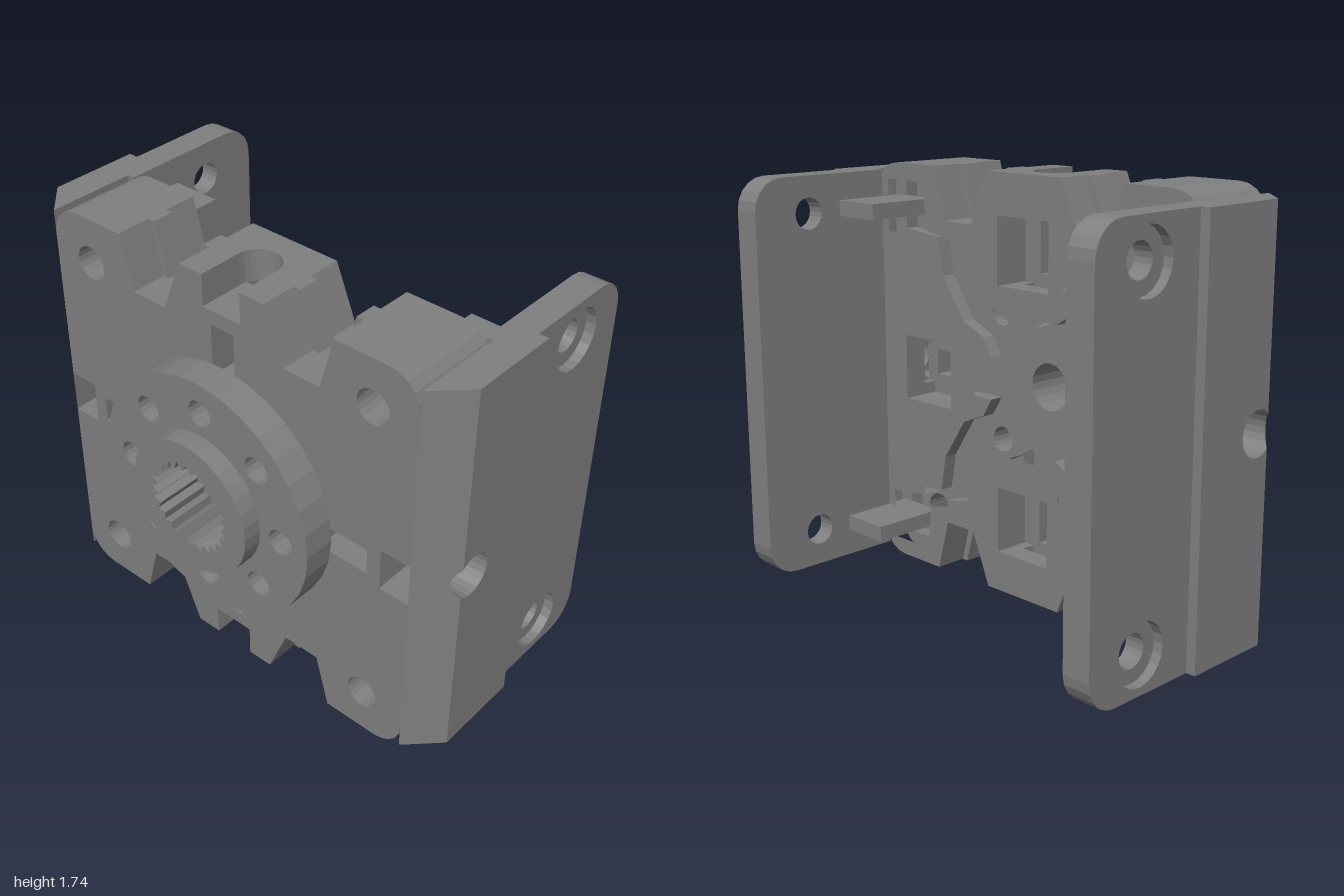
import * as THREE from 'three';

const grey = new THREE.MeshStandardMaterial({ color: 0x7f7f7f });
grey.name = 'machinedGrey';
grey.flatShading = true;

const V = (x, y) => new THREE.Vector2(x, y);
const PI = Math.PI;

// Mirror one quadrant (top centre to right centre) into a closed loop
function fourfold(q) {
  const flip = (list, sx, sy) => list.map(([x, y]) => V(x * sx, y * sy));
  const r = [...q].reverse();
  return [...flip(q, 1, 1), ...flip(r, 1, -1), ...flip(q, -1, -1), ...flip(r, -1, 1)];
}

function arc(cx, cy, r, a0, a1, n) {
  return Array.from({ length: n + 1 }, (_, i) => {
    const a = a0 + (a1 - a0) * i / n;
    return [cx + r * Math.cos(a), cy + r * Math.sin(a)];
  });
}
const pts = list => list.map(([x, y]) => V(x, y));
const circle = (x, y, r, n = 20) => pts(arc(x, y, r, 0, 2 * PI, n).slice(0, n));
const rect = (x0, y0, x1, y1) => [V(x0, y0), V(x1, y0), V(x1, y1), V(x0, y1)];

function extrude(outer, holes, depth) {
  const s = new THREE.Shape(outer);
  s.holes = holes.map(h => new THREE.Path(h));
  return new THREE.ExtrudeGeometry(s, { depth, bevelEnabled: false });
}

function add(parent, name, geo) {
  const m = new THREE.Mesh(geo, grey);
  m.name = name;
  parent.add(m);
  return m;
}

// Layer between two depths in z
function layer(parent, name, outer, holes, z0, z1) {
  return add(parent, name, extrude(outer, holes, z1 - z0).translate(0, 0, z0));
}

// Plate between two x values, profile given as (-z, y)
function sidePlate(parent, name, outer, holes, x0, x1) {
  return add(parent, name, extrude(outer, holes, x1 - x0).rotateY(PI / 2).translate(x0, 0, 0));
}

// Body edge: tongue narrows the tapered notches, open adds the edge channels
function edge(tongue, open) {
  const t = tongue ? 0.03 : 0;
  return [
    ...(open ? [[0.09, 0.74], [0.09, 0.87]] : []),
    [0.2 + t, 0.87], [0.29 + t, 0.65], [0.45 - t, 0.65], [0.51 - t, 0.87],
    ...arc(0.74, 0.74, 0.13, PI / 2, 0, 5),
    ...(open ? [[0.87, 0.09], [0.74, 0.09]] : []),
  ];
}

function buildBody(g) {
  const diagonals = [1, 3, 5, 7].map(i => i * PI / 4);

  // Through holes of the face plate
  const plateHoles = [circle(0, 0, 0.1)];
  for (const a of diagonals) {
    plateHoles.push(circle(0.386 * Math.cos(a), 0.386 * Math.sin(a), 0.055, 16));
  }
  for (const sx of [-1, 1]) {
    for (const sy of [-1, 1]) plateHoles.push(circle(sx * 0.68, sy * 0.68, 0.07));
    const a = Math.min(sx * 0.46, sx * 0.68), b = Math.max(sx * 0.46, sx * 0.68);
    plateHoles.push(rect(-0.055, a, 0.055, b), rect(a, -0.055, b, 0.055));
  }
  layer(g, 'facePlate', fourfold(edge(false, true)), plateHoles, 0.26, 0.41);
  layer(g, 'tonguePlate', fourfold(edge(true, true)), plateHoles, 0.19, 0.26);

  // Rear pockets: a star around the hub reaching into the corners
  const half = [[0.07, 0.28], [0.17, 0.33], [0.22, 0.45], [0.4, 0.57], [0.56, 0.6], [0.58, 0.8]];
  const star = [...half, [0.8, 0.8], ...half.map(([x, y]) => [y, x]).reverse()];
  const pockets = [
    fourfold(star),
    rect(-0.14, 0.42, 0.14, 0.7), rect(-0.14, -0.7, 0.14, -0.42),
    rect(0.42, -0.14, 0.7, 0.14), rect(-0.7, -0.14, -0.42, 0.14),
  ];
  layer(g, 'rearFrame', fourfold(edge(false, false)), pockets, 0.03, 0.13);

  // Quadrant blocks with cross channels between them
  const lane = [[0.09, 0.7], [0.14, 0.7], [0.14, 0.42], [0.09, 0.42], [0.09, 0.28]];
  const inner = [...lane, ...star.slice(1, -1), ...lane.map(([x, y]) => [y, x]).reverse()];
  for (const sx of [-1, 1]) for (const sy of [-1, 1]) {
    for (const [tongue, z0, z1] of [[false, 0.13, 0.17], [true, 0.17, 0.19]]) {
      const loop = [...edge(tongue, true), ...[...inner].reverse()];
      layer(g, 'channelBlock', loop.map(([x, y]) => V(x * sx, y * sy)), [], z0, z1);
    }
  }

  // Rounded floors of the four edge channels
  const floor = pts([[-0.09, -0.12], [0.09, -0.12], ...arc(0, -0.22, 0.09, 0, PI, 12)]);
  for (let i = 0; i < 4; i++) {
    const geo = extrude(floor, [], 0.13).rotateX(-PI / 2).translate(0, 0.74, 0).rotateZ(i * PI / 2);
    add(g, 'channelFloor', geo);
  }
}

function buildHorn(g) {
  // Toothed socket through flange and hub
  const n = 24;
  const socket = Array.from({ length: n * 2 }, (_, i) => {
    const r = i % 2 ? 0.165 : 0.195, a = i * PI / n;
    return V(r * Math.cos(a), r * Math.sin(a));
  });
  const bolts = Array.from({ length: 8 }, (_, i) =>
    circle(0.386 * Math.cos(i * PI / 4), 0.386 * Math.sin(i * PI / 4), 0.055, 16));
  layer(g, 'hornFlange', circle(0, 0, 0.515, 32), [socket, ...bolts], 0.41, 0.54);
  layer(g, 'hornHub', circle(0, 0, 0.287, 32), [socket], 0.54, 0.62);
}

function buildWing(g) {
  const H = 0.835;
  // Rear flange with rounded corners and counterbored holes
  const outline = pts([
    [-0.03, -H], ...arc(0.49, -H + 0.13, 0.13, -PI / 2, 0, 5),
    ...arc(0.49, H - 0.13, 0.13, 0, PI / 2, 5), [-0.03, H],
  ]);
  const holes = r => [-0.68, 0.68].map(y => circle(0.36, y, r));
  sidePlate(g, 'flangeInner', outline, holes(0.066), 0.84, 0.92);
  sidePlate(g, 'flangeOuter', outline, holes(0.123), 0.92, 0.96);

  // Thick web, split where the chamfer starts across the round port
  const a = Math.acos(0.06 / 0.09);
  const port = arc(-0.22, 0, 0.09, PI - a, -PI + a, 16);
  const nose = arc(-0.22, 0, 0.09, PI + a, PI - a, 6);
  sidePlate(g, 'web', pts([[-0.28, -H], [0.1, -H], [0.1, H], [-0.28, H], ...port]), [], 0.87, 1);
  const chamfer = sidePlate(g, 'webChamfer',
    pts([[-0.41, -H], [-0.28, -H], ...nose, [-0.28, H], [-0.41, H]]), [], 0.87, 1);
  const p = chamfer.geometry.attributes.position;
  for (let i = 0; i < p.count; i++) {
    if (p.getX(i) > 0.9) p.setX(i, 1 - (p.getZ(i) - 0.28));
  }
  chamfer.geometry.computeVertexNormals();

  // Locating tabs on the inside
  for (const s of [-1, 1]) {
    add(g, 'tab', new THREE.BoxGeometry(0.22, 0.065, 0.33).translate(0.735, s * 0.69, -0.035));
  }
}

export function createModel() {
  const model = new THREE.Group();
  model.name = 'mountingBracket';
  const parts = [['body', buildBody], ['horn', buildHorn], ['leftWing', buildWing], ['rightWing', buildWing]];
  for (const [name, build] of parts) {
    const g = new THREE.Group();
    g.name = name;
    g.position.y = 0.87;
    if (name === 'rightWing') g.rotation.z = PI;
    build(g);
    model.add(g);
  }
  return model;
}
